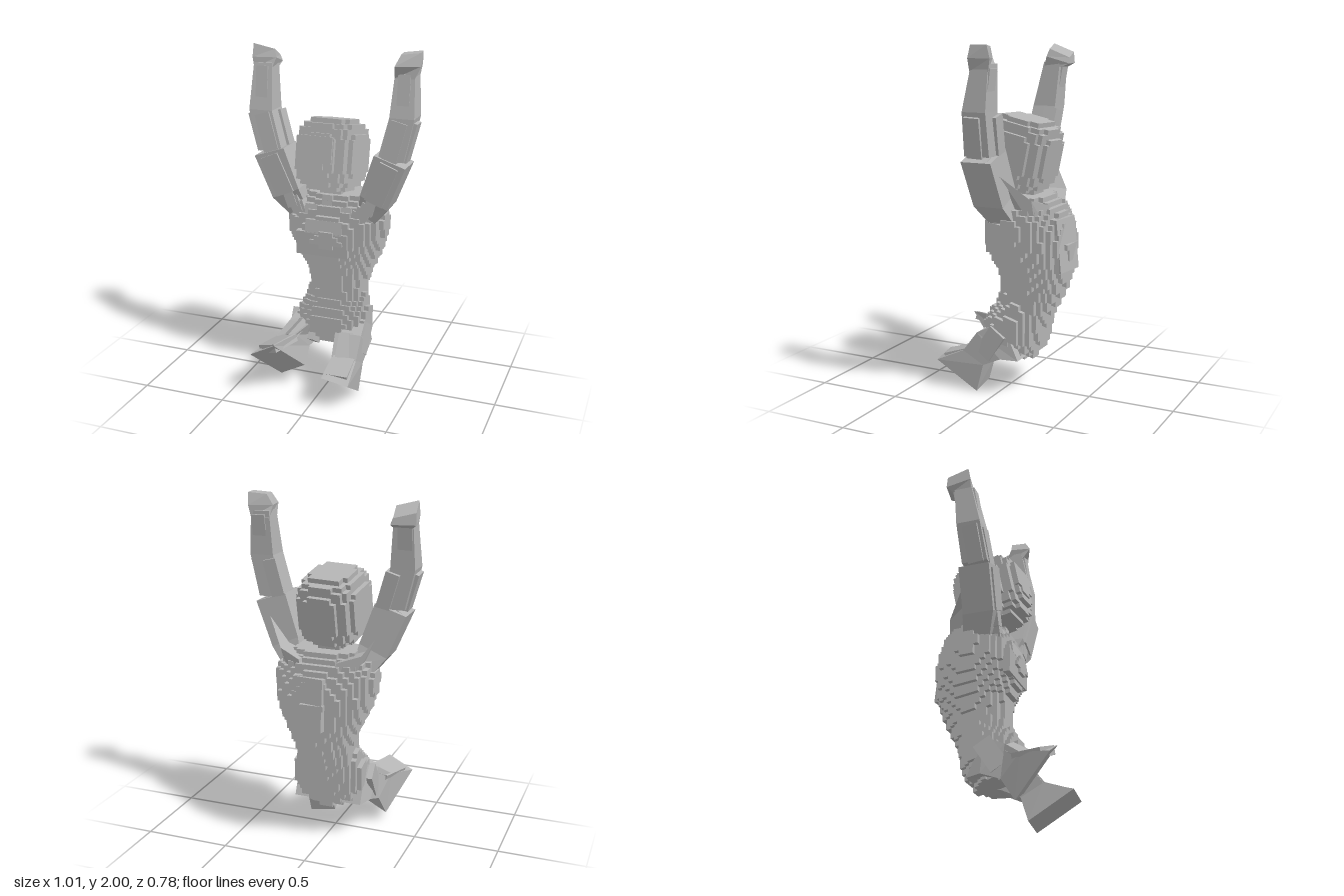
import * as THREE from 'three';

const material = new THREE.MeshStandardMaterial({ color: 0xb4b4b4, flatShading: true });

function addMesh(parent, geometry, name) {
  const mesh = new THREE.Mesh(geometry, material);
  mesh.name = name;
  parent.add(mesh);
  return mesh;
}

function fromTriangles(positions) {
  const g = new THREE.BufferGeometry();
  g.setAttribute('position', new THREE.Float32BufferAttribute(positions, 3));
  g.computeVertexNormals();
  return g;
}

// Outer skin of all cells that pass the inside test; warp bends the lattice
function voxelGeometry(size, min, count, inside, warp = (p) => p) {
  const out = [];
  const at = (c) => c.map((v, a) => min[a] + v * size);
  const filled = (c) => c.every((v, a) => v >= 0 && v < count[a]) && inside(...at(c.map((v) => v + 0.5)));
  for (let i = 0; i < count[0]; i++) for (let j = 0; j < count[1]; j++) for (let k = 0; k < count[2]; k++) {
    const cell = [i, j, k];
    if (!filled(cell)) continue;
    for (let a = 0; a < 3; a++) for (const s of [0, 1]) {
      const next = [...cell];
      next[a] += s ? 1 : -1;
      if (filled(next)) continue;
      const b = (a + 1) % 3, d = (a + 2) % 3;
      const quad = [[0, 0], [1, 0], [1, 1], [0, 1]].map(([m, n]) => {
        const c = [...cell];
        c[a] += s; c[b] += m; c[d] += n;
        return warp(at(c));
      });
      if (!s) quad.reverse();
      for (const n of [0, 1, 2, 0, 2, 3]) out.push(...quad[n]);
    }
  }
  return fromTriangles(out);
}

// Closed limb through four-cornered sections: [centre, half axis u, half axis v]
function loft(sections) {
  const rings = sections.map(([c, u, v]) =>
    [[-1, -1], [1, -1], [1, 1], [-1, 1]].map(([m, n]) => c.map((x, a) => x + m * u[a] + n * v[a])));
  // keep the corners counter-clockwise along the limb so faces point outwards
  const [c0, u0, v0] = sections[0].map((p) => new THREE.Vector3(...p));
  const along = new THREE.Vector3(...sections[1][0]).sub(c0);
  if (u0.cross(v0).dot(along) < 0) rings.forEach((r) => r.reverse());
  const out = [];
  const quad = (...q) => { for (const n of [0, 1, 2, 0, 2, 3]) out.push(...q[n]); };
  for (let r = 0; r + 1 < rings.length; r++) for (let k = 0; k < 4; k++) {
    const n = (k + 1) % 4;
    quad(rings[r][k], rings[r][n], rings[r + 1][n], rings[r + 1][k]);
  }
  quad(...[...rings[0]].reverse());
  quad(...rings[rings.length - 1]);
  return fromTriangles(out);
}

// Box running from point a to point b
function strut(parent, a, b, w, d, name) {
  const from = new THREE.Vector3(...a), to = new THREE.Vector3(...b);
  const mesh = addMesh(parent, new THREE.BoxGeometry(w, from.distanceTo(to), d), name);
  mesh.position.copy(from).add(to).multiplyScalar(0.5);
  mesh.quaternion.setFromUnitVectors(new THREE.Vector3(0, 1, 0), to.sub(from).normalize());
}

// Torso profile rows: height, half width, front z, back z
const profile = [
  [0.2, 0.12, 0.0, -0.13], [0.26, 0.18, 0.09, -0.18], [0.33, 0.215, 0.13, -0.21], [0.42, 0.215, 0.09, -0.225],
  [0.5, 0.175, 0.04, -0.25], [0.6, 0.16, 0.03, -0.3], [0.7, 0.19, 0.045, -0.345], [0.8, 0.24, 0.09, -0.37],
  [0.9, 0.28, 0.115, -0.375], [1.0, 0.295, 0.1, -0.35], [1.08, 0.27, 0.06, -0.31], [1.17, 0.15, 0.0, -0.23],
];

function profileAt(y) {
  const k = Math.max(1, profile.findIndex((row) => row[0] >= y));
  const p = profile[k - 1], q = profile[k];
  const t = THREE.MathUtils.clamp((y - p[0]) / (q[0] - p[0]), 0, 1);
  return p.map((v, i) => v + (q[i] - v) * t);
}

function makeTorso() {
  const size = 0.028;
  const inside = (x, y, z) => {
    if (y < 0.2 || y > 1.16) return false;
    const [, w, front, back] = profileAt(y);
    const depth = (front - back) / 2, middle = (front + back) / 2;
    return Math.pow(Math.abs(x) / w, 2.2) + Math.pow(Math.abs(z - middle) / depth, 2.2) < 1;
  };
  const warp = ([x, y, z]) => {
    const tilt = THREE.MathUtils.lerp(0.3, 0.03, THREE.MathUtils.smoothstep(y, 0.45, 1.0));
    return [x, y + tilt * (z + 0.1), z];
  };
  return voxelGeometry(size, [-10.5 * size, 0.18, -0.385], [21, 36, 19], inside, warp);
}

function makeArm(side, points, hand, name) {
  const arm = new THREE.Group();
  arm.name = name;
  const [root, shoulder, elbow, mid, wrist] = points;
  const x = (v) => [side * v, 0, 0], z = (v) => [0, 0, v];
  // upper arm swells towards the elbow, then a narrower forearm
  addMesh(arm, loft([
    [root, [side * 0.05, -0.03, 0], z(0.08)],
    [shoulder, [side * 0.08, -0.035, 0], z(0.09)],
    [elbow, [side * 0.09, -0.03, 0], z(0.09)],
  ]), 'upperArm');
  addMesh(arm, loft([
    [elbow, x(0.075), z(0.075)],
    [mid, x(0.07), z(0.07)],
    [wrist, x(0.055), z(0.05)],
  ]), 'forearm');
  addMesh(arm, loft(hand), 'hand');
  // raised panels on the faces of the arm
  const shift = (p, dx, dy, dz) => [p[0] + side * dx, p[1] + dy, p[2] + dz];
  const panel = (a, b, dx, dz, w, d) =>
    strut(arm, shift(a, dx, 0, dz), shift(b, dx, -0.02, dz), w, d, 'armPanel');
  panel(shoulder, elbow, 0, 0.075, 0.11, 0.05);
  panel(shoulder, elbow, 0.055, 0, 0.07, 0.12);
  panel(elbow, mid, 0.045, 0.01, 0.08, 0.09);
  panel(elbow, mid, -0.05, -0.05, 0.08, 0.08);
  panel(elbow, mid, -0.01, 0.055, 0.09, 0.05);
  panel(mid, wrist, 0, 0.035, 0.07, 0.06);
  panel(mid, wrist, 0.01, -0.035, 0.08, 0.05);
  // shoulder blade web stretched from the arm to the back
  addMesh(arm, loft([
    [[side * 0.09, 1.02, -0.23], [side * 0.02, 0.1, 0], z(0.06)],
    [[side * 0.21, 1.07, -0.17], [side * 0.03, 0.09, 0], z(0.07)],
    [shift(elbow, -0.04, -0.14, -0.06), [side * 0.04, 0.03, 0], z(0.04)],
  ]), 'shoulderWeb');
  // stepped front of the armpit
  for (let i = 0; i < 4; i++) {
    const step = addMesh(arm, new THREE.BoxGeometry(0.06, 0.1, 0.08), 'shoulderStep');
    step.position.set(side * (0.15 + i * 0.03), 1.04 + i * 0.03, 0.005 + i * 0.005);
    step.rotation.z = -side * 0.35;
  }
  return arm;
}

function makeLeg(sections, name) {
  const leg = new THREE.Group();
  leg.name = name;
  const [sole, ankle, knee, hip] = sections;
  addMesh(leg, loft([hip, knee, ankle]), 'thigh');
  addMesh(leg, loft([ankle, sole]), 'foot');
  // raised panels along the shin and instep
  const over = (s, k, dy) => s[0].map((v, a) => v + k * s[2][a] + (a === 1 ? dy : 0));
  strut(leg, over(knee, 0.7, 0.01), over(ankle, 0.7, 0), 0.11, 0.05, 'shinPanel');
  strut(leg, over(ankle, 0.5, 0.01), over(sole, 0.65, 0.03), 0.13, 0.05, 'instep');
  for (const s of [-1, 1]) {
    const c = knee[0];
    strut(leg, [c[0] + s * 0.07, c[1] + 0.09, c[2] - 0.06], [c[0] + s * 0.065, c[1] - 0.06, c[2] + 0.04], 0.035, 0.11, 'thighPanel');
  }
  return leg;
}

export function createModel() {
  const model = new THREE.Group();
  model.name = 'figure';

  addMesh(model, makeTorso(), 'torso');

  // chest, collar, neck and back plates
  const plate = (w, h, d, x, y, z, tilt, turn, name) => {
    const m = addMesh(model, new THREE.BoxGeometry(w, h, d), name);
    m.position.set(x, y, z);
    m.rotation.set(tilt, turn, 0);
  };
  plate(0.31, 0.14, 0.04, -0.03, 0.89, 0.083, 0.03, 0, 'chestPlate');
  plate(0.22, 0.08, 0.04, -0.02, 0.99, 0.08, -0.15, 0, 'chestPlate');
  plate(0.19, 0.3, 0.04, 0.03, 0.89, -0.35, 0.1, -0.15, 'backPlate');
  plate(0.28, 0.06, 0.1, -0.01, 1.07, 0.0, -0.2, 0, 'collar');
  plate(0.13, 0.2, 0.14, -0.02, 1.15, -0.09, -0.15, 0, 'neck');
  plate(0.06, 0.13, 0.06, -0.02, 1.1, 0.01, -0.15, 0, 'throat');

  // stepped, rounded head tipped back
  const cell = 0.027;
  const round = (x, y, z) =>
    Math.pow(Math.abs(x) / 0.178, 3) + Math.pow(Math.abs(y) / 0.21, 3) + Math.pow(Math.abs(z) / 0.205, 3) < 1;
  const head = addMesh(model, voxelGeometry(cell, [-6.5 * cell, -7.5 * cell, -7.5 * cell], [13, 15, 15], round), 'head');
  head.position.set(-0.02, 1.39, -0.06);
  head.rotation.set(-0.2, -0.09, 0);
  for (const [w, h, y] of [[0.2, 0.15, 0.03], [0.1, 0.04, -0.06]]) {
    const face = addMesh(head, new THREE.BoxGeometry(w, h, 0.025), 'facePlate');
    face.position.set(-0.01, y, 0.2);
  }

  model.add(makeArm(1,
    [[0.21, 1.05, -0.07], [0.265, 1.16, -0.03], [0.36, 1.41, -0.01], [0.415, 1.65, -0.02], [0.415, 1.9, -0.05]],
    [
      [[0.415, 1.86, -0.045], [0.055, 0, 0], [0, 0, 0.055]],
      [[0.425, 1.93, -0.03], [0.065, 0, -0.025], [0.01, 0, 0.06]],
      [[0.44, 1.995, -0.04], [0.05, 0.005, -0.015], [0.005, 0, 0.045]],
    ], 'leftArm'));
  model.add(makeArm(-1,
    [[-0.21, 1.05, -0.07], [-0.265, 1.16, -0.03], [-0.36, 1.4, -0.02], [-0.425, 1.63, -0.04], [-0.43, 1.89, -0.08]],
    [
      [[-0.43, 1.86, -0.085], [0.055, 0, 0], [0, 0, 0.055]],
      [[-0.435, 1.9, -0.11], [0.068, 0, -0.012], [0.01, 0.02, 0.07]],
      [[-0.44, 1.955, -0.115], [0.06, -0.015, -0.012], [0.01, 0.025, 0.06]],
    ], 'rightArm'));

  // legs kicked forward, soles facing front and down
  model.add(makeLeg([
    [[0.14, 0.095, 0.25], [0.08, -0.014, 0], [0.01, 0.08, 0.127]],
    [[0.145, 0.205, 0.14], [0.075, 0, 0], [0, 0.035, 0.065]],
    [[0.14, 0.29, 0.04], [0.08, 0, 0], [0, 0.07, 0.075]],
    [[0.12, 0.33, -0.09], [0.085, 0, 0], [0, 0.11, 0.05]],
  ], 'leftLeg'));
  model.add(makeLeg([
    [[-0.245, 0.195, 0.265], [0.075, 0.04, 0], [-0.05, 0.105, 0.11]],
    [[-0.205, 0.26, 0.13], [0.065, 0.02, 0], [-0.02, 0.06, 0.06]],
    [[-0.165, 0.31, 0.02], [0.075, 0.01, 0], [0, 0.075, 0.07]],
    [[-0.12, 0.33, -0.09], [0.085, 0, 0], [0, 0.11, 0.05]],
  ], 'rightLeg'));

  return model;
}
